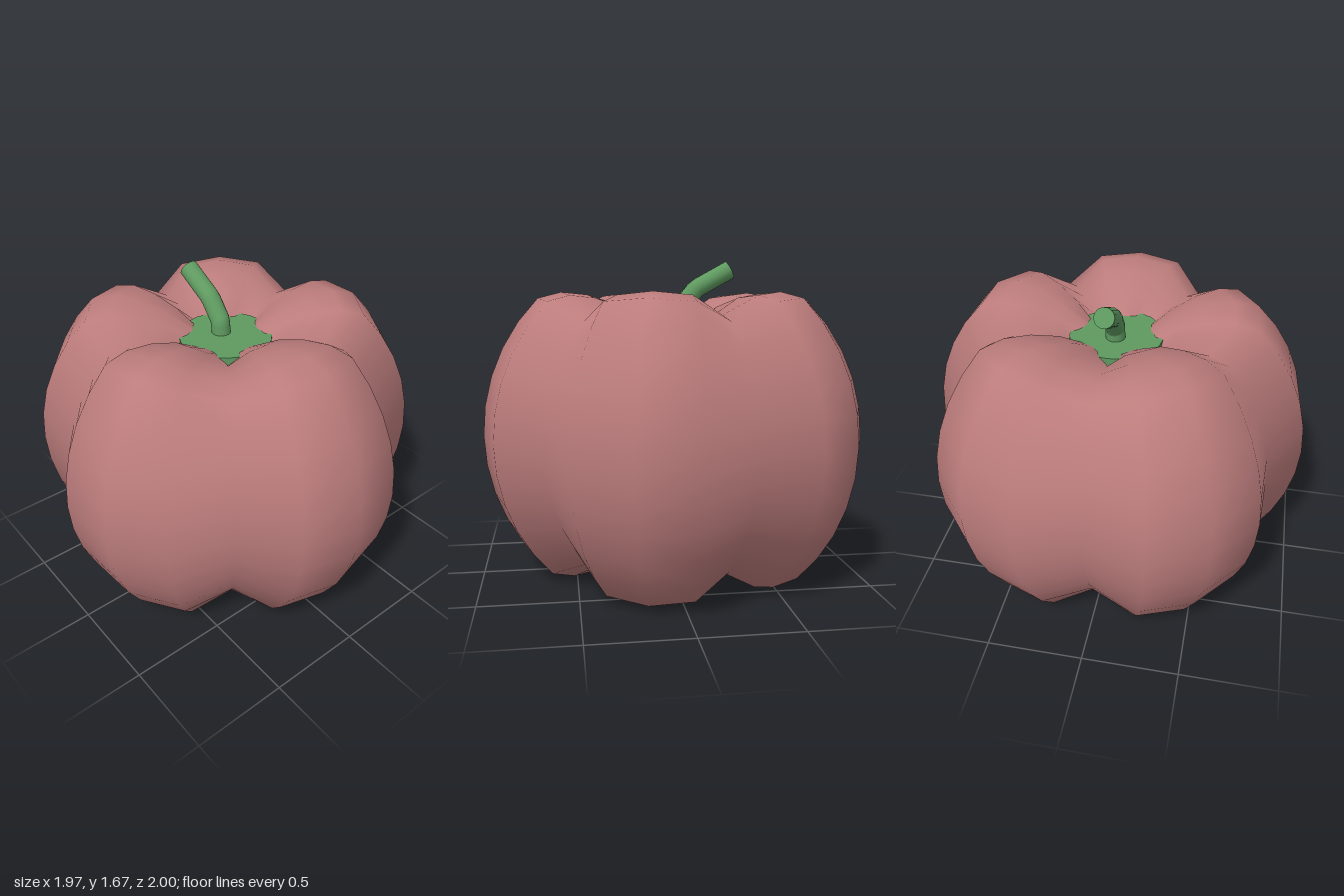
import * as THREE from 'three';

const CX = -0.043, CY = 0.755, R = 1.023;
const SEGMENTS = 20, RINGS = 20;
const LOBE = [1, 0.977, 0.846, 0.977];           // crest, flank, groove, flank
const DIMPLE = [0.5, 0.595, 0.68, 0.725, 0.738]; // heights of the rings sunk around each pole

// Five-lobed sphere, pushed in at both poles
function lobedBody() {
  const positions = [], index = [];
  const height = (i) => {
    const fromPole = Math.min(i, RINGS - i);
    const h = fromPole < DIMPLE.length ? DIMPLE[fromPole] : Math.cos((fromPole * Math.PI) / RINGS);
    return i <= RINGS / 2 ? h : -h;
  };
  positions.push(0, height(0) * R, 0);
  for (let i = 1; i < RINGS; i++) {
    const s = Math.sin((i * Math.PI) / RINGS);
    for (let j = 0; j < SEGMENTS; j++) {
      const a = (j * 2 * Math.PI) / SEGMENTS, r = R * LOBE[j % 4];
      positions.push(r * s * Math.cos(a), r * height(i), r * s * Math.sin(a));
    }
  }
  positions.push(0, height(RINGS) * R, 0);

  const last = positions.length / 3 - 1;
  const at = (i, j) => 1 + (i - 1) * SEGMENTS + (j % SEGMENTS);
  for (let j = 0; j < SEGMENTS; j++) {
    index.push(0, at(1, j + 1), at(1, j));
    for (let i = 1; i < RINGS - 1; i++) {
      const a = at(i, j), b = at(i, j + 1), c = at(i + 1, j), d = at(i + 1, j + 1);
      index.push(a, b, c, b, d, c);
    }
    index.push(last, at(RINGS - 1, j), at(RINGS - 1, j + 1));
  }
  const geometry = new THREE.BufferGeometry();
  geometry.setAttribute('position', new THREE.Float32BufferAttribute(positions, 3));
  geometry.setIndex(index);
  geometry.computeVertexNormals();
  return geometry;
}

export function createModel() {
  const group = new THREE.Group();
  const red = new THREE.MeshStandardMaterial({ color: 0xbc7c7c });
  const green = new THREE.MeshStandardMaterial({ color: 0x5f9a60 });
  const add = (name, geometry, material, parent = group) => {
    const mesh = new THREE.Mesh(geometry, material);
    mesh.name = name;
    parent.add(mesh);
    return mesh;
  };

  add('body', lobedBody(), red).position.set(CX, CY, 0);

  // Flat cap sitting in the top hollow
  add('calyx', new THREE.CylinderGeometry(0.24, 0.24, 0.05, 20), green).position.set(CX, 1.347, 0);

  // Bent stem with a closed tip
  const stem = new THREE.Group();
  stem.name = 'stem';
  group.add(stem);
  const points = [[-0.075, 1.33], [-0.085, 1.435], [-0.163, 1.53], [-0.345, 1.63]]
    .map(([x, y]) => new THREE.Vector3(x, y, 0));
  const path = new THREE.CurvePath();
  for (let i = 0; i < points.length - 1; i++) path.add(new THREE.LineCurve3(points[i], points[i + 1]));
  add('stalk', new THREE.TubeGeometry(path, 16, 0.05, 14), green, stem);
  const tip = add('stalkTip', new THREE.CircleGeometry(0.05, 14), green, stem);
  tip.position.copy(points[3]);
  tip.quaternion.setFromUnitVectors(new THREE.Vector3(0, 0, 1), points[3].clone().sub(points[2]).normalize());

  return group;
}
